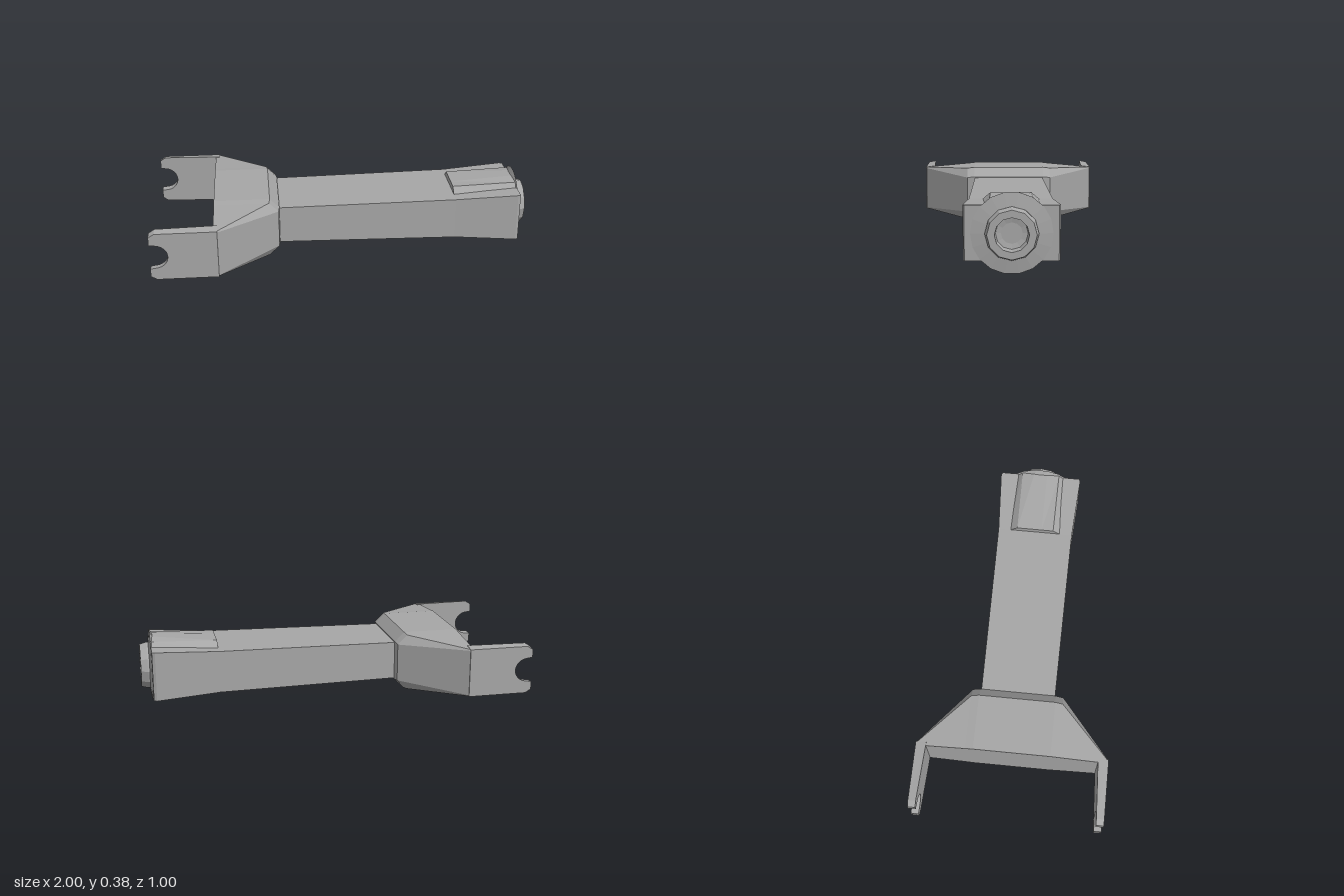
import * as THREE from 'three';

const CY = 0.195; // height of the long axis

// Skin convex rings of [x, y, z] points (counter-clockwise about the loft direction), with caps
function loft(rings) {
  const pos = [];
  const tri = (a, b, c) => pos.push(...a, ...b, ...c);
  const n = rings[0].length;
  for (let i = 0; i < rings.length - 1; i++) {
    for (let j = 0; j < n; j++) {
      const k = (j + 1) % n;
      const a = rings[i][j], b = rings[i][k], c = rings[i + 1][k], d = rings[i + 1][j];
      tri(a, b, c);
      tri(a, c, d);
    }
  }
  const first = rings[0], last = rings[rings.length - 1];
  for (let j = 1; j < n - 1; j++) {
    tri(first[0], first[j + 1], first[j]);
    tri(last[0], last[j], last[j + 1]);
  }
  const g = new THREE.BufferGeometry();
  g.setAttribute('position', new THREE.Float32BufferAttribute(pos, 3));
  g.computeVertexNormals();
  return g;
}

export function createModel() {
  const group = new THREE.Group();
  const grey = new THREE.MeshStandardMaterial({ color: 0xa6a6a6 });
  grey.name = 'plain grey';

  const add = (name, geometry) => {
    const g = geometry.index ? geometry.toNonIndexed() : geometry;
    g.computeVertexNormals(); // faceted
    const mesh = new THREE.Mesh(g, grey);
    mesh.name = name;
    group.add(mesh);
    return mesh;
  };

  // Beam: rectangular, widening towards the socket end [x, half height, half width]
  add('beam', loft([
    [-0.40, 0.099, 0.195], [0.60, 0.111, 0.205], [0.93, 0.130, 0.225], [0.945, 0.130, 0.218],
  ].map(([x, h, w]) => [
    [x, CY - h, -w], [x, CY + h, -w], [x, CY + h, w], [x, CY - h, w],
  ])));

  // Housing swelling above and below the beam, flattened on top and bottom
  add('socketHousing', loft([[0.60, 0.18, 0.142], [0.94, 0.185, 0.165]].map(([x, r, h]) =>
    Array.from({ length: 16 }, (_, i) => {
      const a = (i + 0.5) / 16 * Math.PI * 2;
      return [x, CY + THREE.MathUtils.clamp(r * Math.cos(a), -h, h), r * Math.sin(a)];
    }))));

  // Turned parts around the x axis, profile points are [radius, x]
  const turned = (name, profile, sides) => {
    const g = new THREE.LatheGeometry(profile.map(p => new THREE.Vector2(...p)), sides);
    g.rotateZ(-Math.PI / 2);
    g.translate(0, CY, 0);
    add(name, g);
  };
  turned('flange', [[0.155, 0.925], [0.192, 0.946], [0.12, 0.956]], 18);
  turned('socketCollar', [
    [0.125, 0.94], [0.125, 0.965], [0.115, 1.0], [0.08, 1.0], [0.075, 0.95], [0, 0.935],
  ], 12);

  // Yoke: chamfered block narrowing to the beam [z, front x, chamfer x, chamfer y, half height]
  const half = [[0.5, -0.665, 0.005, 0.005, 0.126], [0.24, -0.345, 0.05, 0.05, 0.15], [0.2, -0.34, 0.05, 0.05, 0.155]];
  const stations = [
    ...half.map(([z, ...rest]) => [-z, ...rest]),
    ...half.slice().reverse(),
  ];
  add('yoke', loft(stations.map(([z, f, cx, cy, h]) => [
    [-0.68, CY - h, z], [f - cx, CY - h, z], [f, CY - h + cy, z],
    [f, CY + h - cy, z], [f - cx, CY + h, z], [-0.68, CY + h, z],
  ])));

  // Fork arms: plates with a rounded notch in the free end
  const arm = new THREE.Shape();
  arm.moveTo(-0.66, -0.135);
  arm.lineTo(-0.66, 0.135);
  arm.lineTo(-0.97, 0.135);
  arm.lineTo(-1.0, 0.115);
  arm.lineTo(-1.0, 0.07);
  arm.lineTo(-0.965, 0.065);
  arm.absarc(-0.975, 0, 0.066, Math.PI * 0.45, -Math.PI * 0.45, true);
  arm.lineTo(-1.0, -0.07);
  arm.lineTo(-1.0, -0.115);
  arm.lineTo(-0.97, -0.135);
  arm.closePath();
  for (const side of [1, -1]) {
    const g = new THREE.ExtrudeGeometry(arm, { depth: 1, bevelEnabled: false, curveSegments: 10 });
    const p = g.attributes.position;
    for (let i = 0; i < p.count; i++) {
      // t is 1 on the outer face, which is slightly lower; the inner face tapers towards the tip
      const t = side > 0 ? p.getZ(i) : 1 - p.getZ(i);
      const inner = THREE.MathUtils.mapLinear(p.getX(i), -1, -0.67, 0.46, 0.445);
      p.setY(i, CY + p.getY(i) * (t > 0.5 ? 0.94 : 1));
      p.setZ(i, side * (t > 0.5 ? 0.5 : inner));
    }
    add(side > 0 ? 'frontForkArm' : 'backForkArm', g);
  }

  return group;
}
